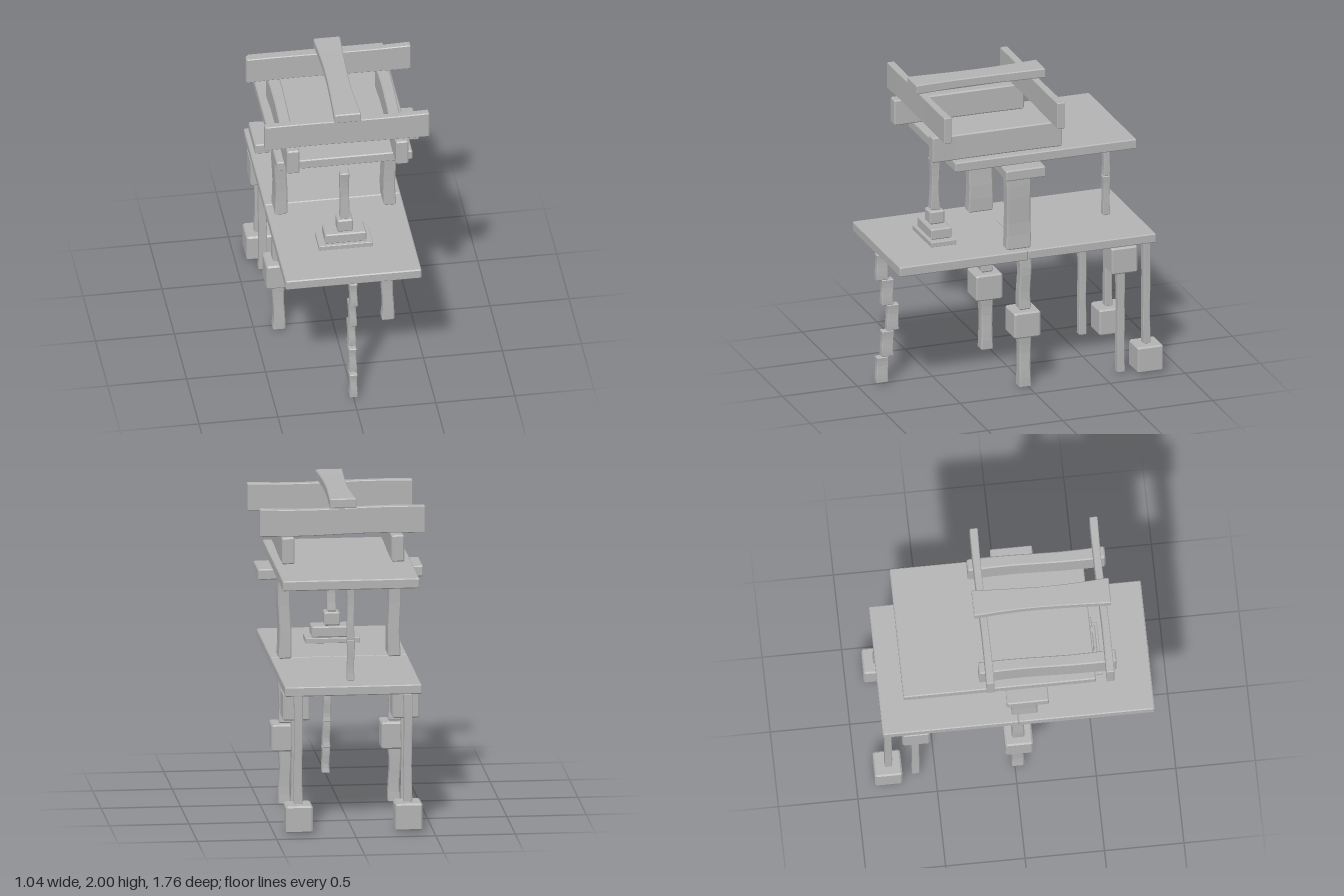
import * as THREE from 'three';

export function createModel() {
  const group = new THREE.Group();
  const stone = new THREE.MeshStandardMaterial({ color: 0xb2b2b2 });
  stone.name = 'plain grey';

  // Chamfered block swept along its longest side. bend = sideways S-curve, waist = thinning at mid length.
  function block(name, [x0, x1], [y0, y1], [z0, z1], bend = [0, 0, 0], waist = [0, 0, 0]) {
    const size = [x1 - x0, y1 - y0, z1 - z0];
    const axis = size.indexOf(Math.max(...size));
    const length = size[axis];
    const w = (axis === 0 ? size[2] : size[0]) / 2;
    const h = (axis === 1 ? size[2] : size[1]) / 2;
    const c = Math.min(0.01, 0.2 * Math.min(w, h));
    const shape = new THREE.Shape([
      [w - c, -h], [w, c - h], [w, h - c], [w - c, h],
      [c - w, h], [-w, h - c], [-w, c - h], [c - w, -h],
    ].map(([x, y]) => new THREE.Vector2(x, y)));
    const geo = new THREE.ExtrudeGeometry(shape, {
      depth: length - 2 * c, steps: 6, bevelEnabled: true,
      bevelThickness: c, bevelSize: c, bevelOffset: -c, bevelSegments: 1,
    });
    geo.translate(0, 0, c - length / 2);
    if (axis === 0) geo.rotateY(Math.PI / 2);
    if (axis === 1) geo.rotateX(-Math.PI / 2);
    const pos = geo.attributes.position;
    for (let i = 0; i < pos.count; i++) {
      const t = pos.getComponent(i, axis) / length + 0.5;
      for (let k = 0; k < 3; k++) {
        if (k === axis) continue;
        const v = pos.getComponent(i, k);
        pos.setComponent(i, k, v * (1 - waist[k] * Math.sin(Math.PI * t)) + bend[k] * Math.sin(2 * Math.PI * t));
      }
    }
    geo.computeVertexNormals();
    const mesh = new THREE.Mesh(geo, stone);
    mesh.name = name;
    mesh.position.set((x0 + x1) / 2, (y0 + y1) / 2, (z0 + z1) / 2);
    group.add(mesh);
  }

  const around = (x, w) => [x - w / 2, x + w / 2];

  // Lower deck in two slabs
  block('lowerDeckFront', [-0.43, 0.43], [0.87, 0.935], [0.02, 0.875]);
  block('lowerDeckBack', [-0.43, 0.43], [0.875, 0.935], [-0.835, 0.02]);

  // Stacked front centre leg, curving inward at mid height
  [0.84, 0.805, 0.77, 0.805, 0.84].forEach((z, i) => {
    const y = 0.01 + i * 0.172;
    block('frontLegPiece', around(0, 0.05), [y, y + 0.172], around(z, 0.08),
      [0.002, 0, 0.003], [0.12, 0, 0.08]);
  });

  for (const s of [-1, 1]) {
    const x = s * 0.345;
    // Middle legs with a square block halfway up
    block('middleLegLower', around(x, 0.08), [0, 0.35], around(0.02, 0.08), [0.004, 0, 0.002], [0.15, 0, 0.1]);
    block('middleLegBlock', around(x, 0.175), [0.35, 0.522], around(0.023, 0.175));
    block('middleLegUpper', around(x, 0.08), [0.522, 0.87], around(0.02, 0.08), [-0.004, 0, 0.003], [0.05, 0, 0.1]);

    // Paired back legs, one blocked at the top and one at the foot
    block('backLegTopBlock', around(x, 0.17), [0.693, 0.87], around(-0.625, 0.172));
    block('backLegInnerPost', around(x, 0.055), [0.01, 0.693], around(-0.623, 0.05), [0.002, 0, 0.002], [0.1, 0, 0.1]);
    block('backLegOuterPost', around(x, 0.055), [0.18, 0.875], around(-0.795, 0.048), [0.002, 0, 0.002], [0.1, 0, 0.05]);
    block('backLegFootBlock', around(x, 0.17), [0.01, 0.182], around(-0.798, 0.172));

    // Pillars between the decks
    block('pillar', around(x, 0.08), [0.935, 1.452], around(0.063, 0.165), [s * -0.005, 0, -0.002], [0.08, 0, 0.06]);

    // Side rails on the upper deck
    block('sideRail', around(x, 0.08), [1.587, 1.757], [-0.225, 0.64], [0.004, 0.002, 0], [0.1, 0.02, 0]);
  }

  // Stepped pedestal and slender post
  block('pedestalBase', [-0.172, 0.17], [0.933, 0.967], [0.4, 0.572]);
  block('pedestalStep', [-0.13, 0.13], [0.967, 1.037], [0.418, 0.555]);
  block('pedestalBlock', around(0, 0.1), [1.037, 1.125], around(0.485, 0.1));
  block('pedestalPost', around(0, 0.06), [1.125, 1.467], around(0.488, 0.066), [0.002, 0, 0.002], [0.1, 0, 0.3]);

  // Upper deck with its cross beam and two-piece back post
  block('deckBeam', [-0.52, 0.52], [1.453, 1.523], [-0.065, 0.2], [0, -0.004, 0.005], [0, 0.12, 0.03]);
  block('upperDeck', [-0.43, 0.43], [1.523, 1.587], [-0.705, 0.505]);
  block('backPostLower', around(0, 0.05), [0.935, 1.197], around(-0.655, 0.048), [0.002, 0, 0.002], [0.15, 0, 0.12]);
  block('backPostUpper', around(0, 0.05), [1.197, 1.525], around(-0.655, 0.045), [0.002, 0, -0.002], [0.15, 0, 0.12]);

  // Upright planks across the rails and the top beam
  for (const z of [0.587, -0.167]) {
    block('crossPlank', [-0.52, 0.52], [1.76, 1.935], around(z, 0.05), [0, 0.005, 0.003], [0, 0.04, 0.1]);
  }
  block('topBeam', around(0, 0.17), [1.938, 2], [-0.225, 0.637], [0.002, 0, 0], [0.2, 0.08, 0]);

  return group;
}
